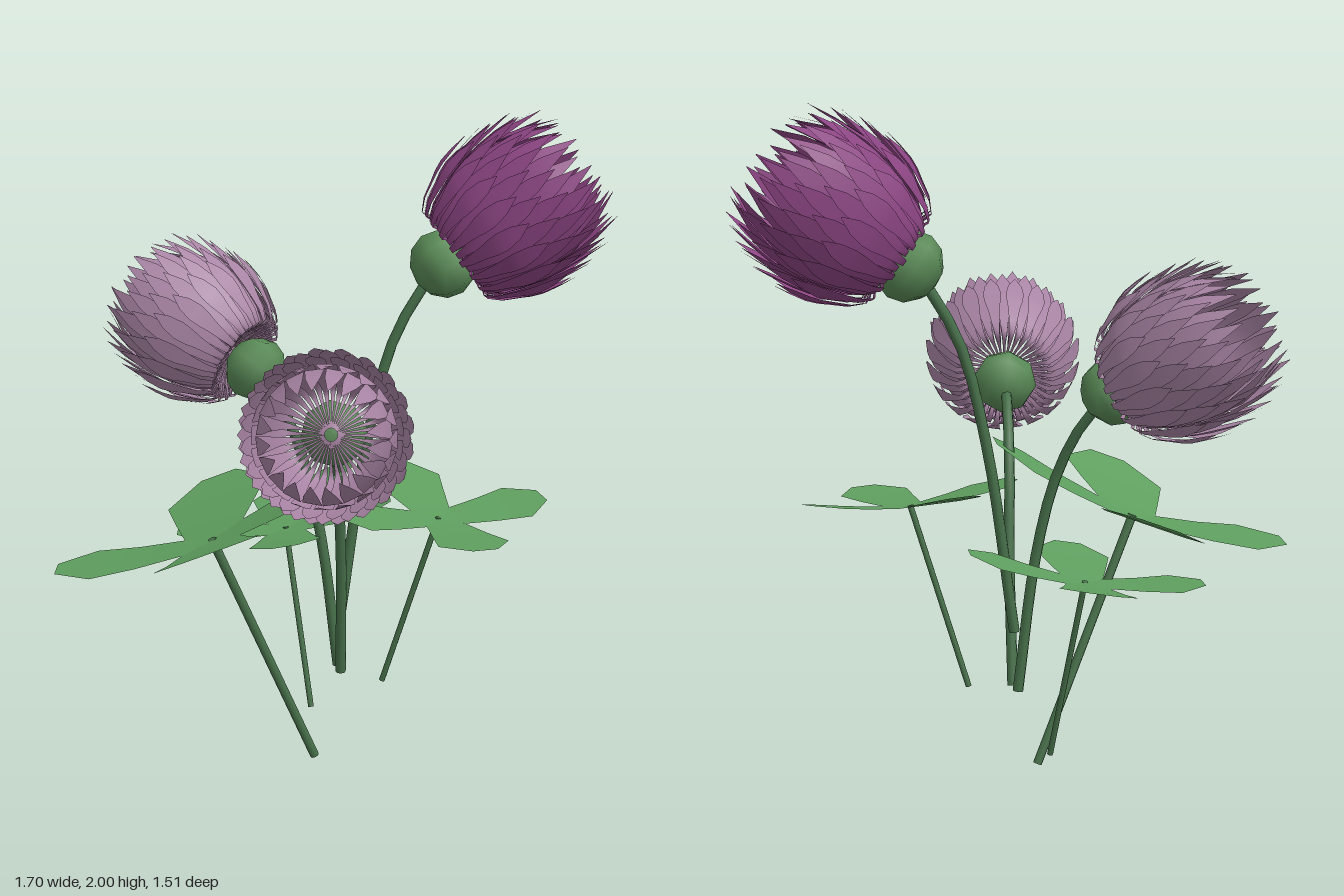
import * as THREE from 'three';
import { mergeGeometries } from 'three/addons/utils/BufferGeometryUtils.js';

const V = (x, y, z) => new THREE.Vector3(x, y, z);
const mat = (name, color, side = THREE.FrontSide) => {
  const m = new THREE.MeshStandardMaterial({ color, side });
  m.name = name;
  return m;
};

// Strip of quads: each row gives the left and right edge points
function ribbon(rows) {
  const pos = [], index = [];
  rows.forEach(([a, b], i) => {
    pos.push(a.x, a.y, a.z, b.x, b.y, b.z);
    if (i) {
      const k = 2 * i;
      index.push(k - 2, k - 1, k, k - 1, k + 1, k);
    }
  });
  const g = new THREE.BufferGeometry();
  g.setAttribute('position', new THREE.Float32BufferAttribute(pos, 3));
  g.setIndex(index);
  g.computeVertexNormals();
  return g;
}

function mesh(name, geometry, material, parent) {
  const m = new THREE.Mesh(geometry, material);
  m.name = name;
  parent.add(m);
  return m;
}

// Petal layers, outer to inner: radius factor, tip radius, tip height
const LAYERS = [
  [1.04, 0.265, 0.28], [1.0, 0.258, 0.35], [0.96, 0.24, 0.42],
  [0.91, 0.2, 0.48], [0.85, 0.14, 0.51],
];
const PER_LAYER = 20;
const PETAL_WIDTHS = [0.002, 0.003, 0.004, 0.006, 0.009, 0.014, 0.02, 0.027, 0.03, 0.023, 0.001];

// Bulb-shaped head along +y: narrow petal bases fan over the flower base, then curve up to points
function headGeometry() {
  const parts = [];
  LAYERS.forEach(([f, tipR, tipY], layer) => {
    const path = new THREE.CatmullRomCurve3([
      V(0.02, 0.1, 0), V(0.09, 0.08, 0), V(0.155 * f, 0.045 + layer * 0.006, 0),
      V(0.208 * f, 0.06 + tipY * 0.22, 0), V(0.237 * f, tipY * 0.66, 0), V(tipR, tipY, 0),
    ]);
    for (let i = 0; i < PER_LAYER; i++) {
      const turn = ((i + layer * 0.5) / PER_LAYER) * Math.PI * 2;
      const stretch = 1 + 0.03 * Math.sin(i * 2.4 + layer * 1.7);
      const rows = PETAL_WIDTHS.map((w, k) => {
        const p = path.getPoint(k / (PETAL_WIDTHS.length - 1));
        return [V(p.x, p.y * stretch, w), V(p.x, p.y * stretch, -w)];
      });
      parts.push(ribbon(rows).rotateY(turn));
    }
  });
  return mergeGeometries(parts);
}

// Four joined angular leaflets, cupped and tilted; steeper ones reach less far sideways
const LEAFLET = [[0, 0.012], [0.09, 0.088], [0.23, 0.122], [0.365, 0.155], [0.48, 0.055]];
function leafGeometry(size, turn, tiltX, tiltZ, cup) {
  const parts = [];
  for (let i = 0; i < 4; i++) {
    const a = turn + (i * Math.PI) / 2, c = Math.cos(a), s = Math.sin(a);
    const reach = 1 / Math.hypot(1, tiltX * c + tiltZ * s + cup / (0.48 * size));
    const place = (u, w) => {
      const x = (u * reach * c - w * s) * size, z = (u * reach * s + w * c) * size;
      return V(x, tiltX * x + tiltZ * z + cup * (u / 0.48) ** 1.5, z);
    };
    parts.push(ribbon(LEAFLET.map(([u, w]) => [place(u, -w), place(u, w)])));
  }
  return mergeGeometries(parts);
}

export function createModel() {
  const model = new THREE.Group();
  model.name = 'cloverBunch';

  const purple = mat('deep purple petals', 0x8c4583, THREE.DoubleSide);
  const mauve = mat('pale mauve petals', 0xa884a4, THREE.DoubleSide);
  const leafGreen = mat('leaf green', 0x5f9f5f, THREE.DoubleSide);
  const stemGreen = mat('stem green', 0x47704a);
  const baseGreen = mat('flower base green', 0x5a8a57);

  const petals = headGeometry();
  const tube = (points, radius) => new THREE.TubeGeometry(
    new THREE.CatmullRomCurve3(points.map((p) => V(...p))), 12, radius, 8);

  // Flowers: curved stem ending in the base, head along the axis
  const flowers = [
    { name: 'tallFlower', color: purple, size: 1.02, axis: [0.8, 0.6, 0],
      stem: [[0.03, 0.45, -0.17], [0.11, 1.0, -0.17], [0.185, 1.3, -0.17], [0.27, 1.46, -0.17], [0.335, 1.54, -0.17]] },
    { name: 'frontFlower', color: mauve, size: 0.93, axis: [-0.15, 0.22, 0.97],
      stem: [[0.025, 0.27, -0.115], [0.02, 0.68, -0.03], [0.01, 0.87, 0.015], [0, 1.02, 0.09], [-0.01, 1.09, 0.17], [-0.02, 1.13, 0.26]] },
    { name: 'backFlower', color: mauve, size: 0.96, axis: [-0.72, 0.47, -0.5],
      stem: [[0.02, 0.27, -0.175], [-0.03, 0.68, -0.19], [-0.085, 0.93, -0.225], [-0.15, 1.09, -0.285], [-0.225, 1.19, -0.335]] },
  ];
  for (const f of flowers) {
    const group = new THREE.Group();
    group.name = f.name;
    model.add(group);
    mesh('flowerStem', tube(f.stem, 0.016), stemGreen, group);
    // Cap closing the lower stem end
    const cap = mesh('stemEnd', new THREE.CircleGeometry(0.016, 8).rotateX(Math.PI / 2), stemGreen, group);
    cap.position.set(...f.stem[0]);

    const head = new THREE.Group();
    head.name = 'flowerHead';
    head.position.set(...f.stem[f.stem.length - 1]);
    head.quaternion.setFromUnitVectors(V(0, 1, 0), V(...f.axis).normalize());
    head.scale.setScalar(f.size);
    group.add(head);
    mesh('flowerBase', new THREE.SphereGeometry(0.106, 8, 6).scale(1, 0.88, 1), baseGreen, head);
    mesh('petals', petals, f.color, head);
  }

  // Leaves: straight thin stem poking just through the middle
  const leaves = [
    { name: 'largeLeaf', foot: [-0.06, 0.01, -0.075], top: [-0.37, 0.745, 0.02], radius: 0.014, shape: [1, 0.06, 0.37, 0.05, 0.085] },
    { name: 'backLeaf', foot: [-0.06, 0.1, -0.265], top: [-0.13, 0.65, -0.41], radius: 0.009, shape: [0.72, 0.06, 0.16, 0, 0.045] },
    { name: 'rightLeaf', foot: [0.15, 0.26, -0.06], top: [0.31, 0.8, 0.02], radius: 0.009, shape: [0.72, -0.3, -0.06, -0.12, 0.045] },
  ];
  for (const l of leaves) {
    const group = new THREE.Group();
    group.name = l.name;
    model.add(group);
    const foot = V(...l.foot), top = V(...l.top), dir = top.clone().sub(foot);
    const stem = mesh('leafStem', new THREE.CylinderGeometry(l.radius, l.radius, dir.length() + 0.006, 8), stemGreen, group);
    stem.position.copy(foot).lerp(top, 0.5);
    stem.quaternion.setFromUnitVectors(V(0, 1, 0), dir.normalize());
    mesh('leaflets', leafGeometry(...l.shape), leafGreen, group).position.copy(top);
  }
  return model;
}
